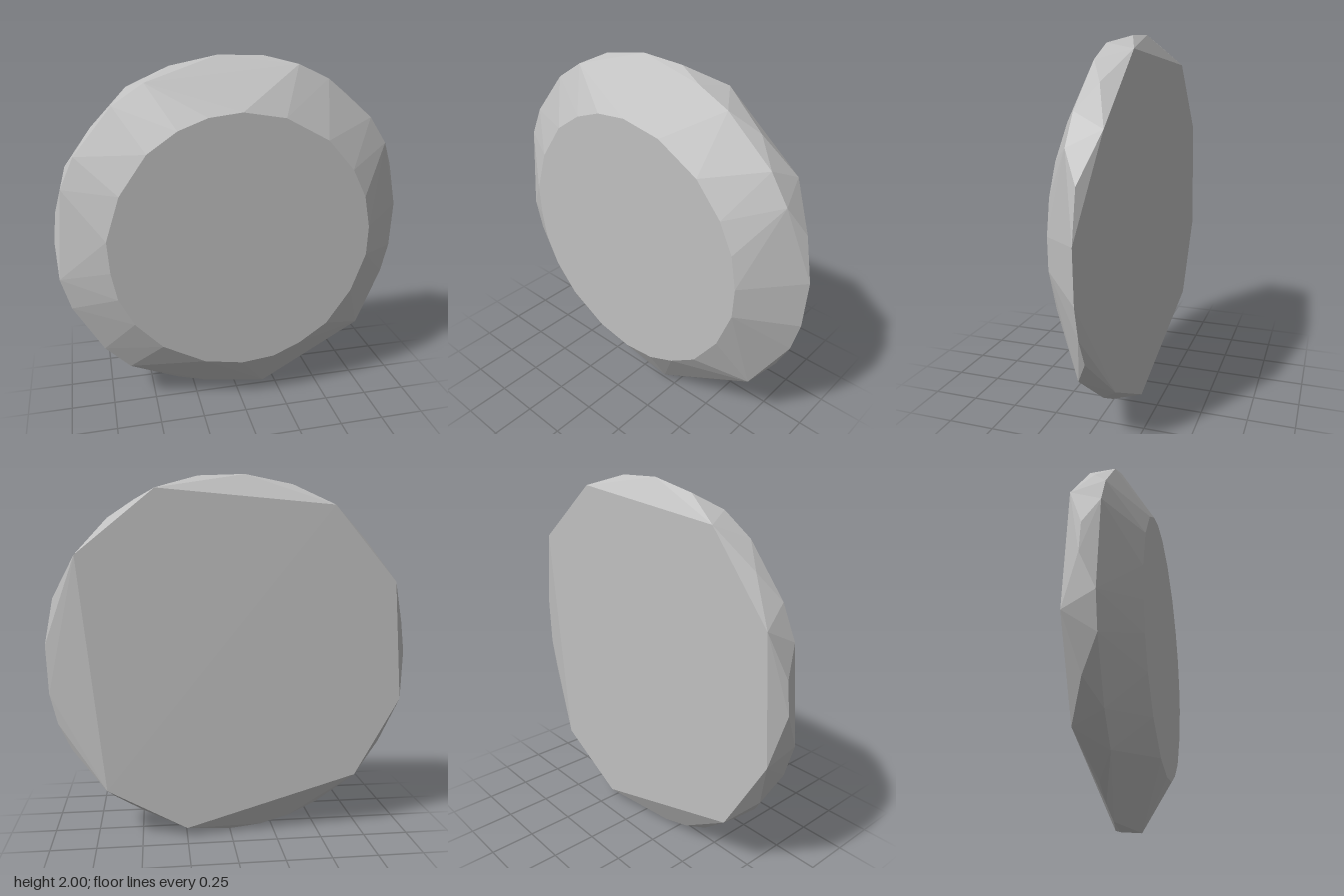
import * as THREE from 'three';
import { ConvexGeometry } from 'three/addons/geometries/ConvexGeometry.js';

// Rim outlines of the cut disc, as [x, y] corners at each depth
const frontTable = [
  [0, 1.74], [-0.18, 1.72], [-0.34, 1.66], [-0.5, 1.55], [-0.65, 1.34], [-0.73, 1.1],
  [-0.72, 0.92], [-0.69, 0.76], [-0.61, 0.6], [-0.46, 0.44], [-0.22, 0.31], [0, 0.27],
  [0.19, 0.29], [0.35, 0.36], [0.51, 0.47], [0.65, 0.67], [0.73, 0.89], [0.735, 1.06],
  [0.7, 1.24], [0.62, 1.4], [0.47, 1.57], [0.23, 1.7],
];
const frontGirdle = [
  [0.34, 1.95], [0.51, 1.87], [0.77, 1.65], [0.87, 1.5], [0.77, 0.36], [0.17, 0.02],
  [-0.64, 0.24], [-0.78, 0.38], [-0.94, 0.66], [-0.99, 0.84], [-0.94, 1.35],
  [-0.86, 1.52], [-0.65, 1.77], [-0.48, 1.88],
];
const backGirdle = [
  [-0.34, 1.95], [-0.08, 2], [0.17, 1.99], [0.65, 1.77], [0.95, 1.35], [1, 1.1],
  [0.99, 0.83], [0.95, 0.66], [0.88, 0.51], [0.64, 0.22], [0.5, 0.14], [0.35, 0.07],
  [0, 0], [-0.18, 0.02], [-0.35, 0.07], [-0.5, 0.14], [-0.87, 0.5], [-1, 1.03],
  [-0.98, 1.2], [-0.76, 1.65],
];
const backTable = [
  [0.82, 1.58], [0.4, 1.92], [-0.56, 1.84], [-0.91, 1.43],
  [-0.96, 0.77], [-0.71, 0.33], [0.25, 0.05], [0.69, 0.29],
];

export function createModel() {
  const group = new THREE.Group();
  group.name = 'facetedDisc';
  const stone = new THREE.MeshStandardMaterial({ color: 0xc0c0c0 });
  stone.name = 'stone grey';

  // Flat facets stretched between the four outlines
  const layers = [[frontTable, 0.16], [frontGirdle, 0], [backGirdle, -0.08], [backTable, -0.16]];
  const points = layers.flatMap(([ring, z]) => ring.map(([x, y]) => new THREE.Vector3(x, y, z)));
  const disc = new THREE.Mesh(new ConvexGeometry(points), stone);
  disc.name = 'disc';
  group.add(disc);
  return group;
}
